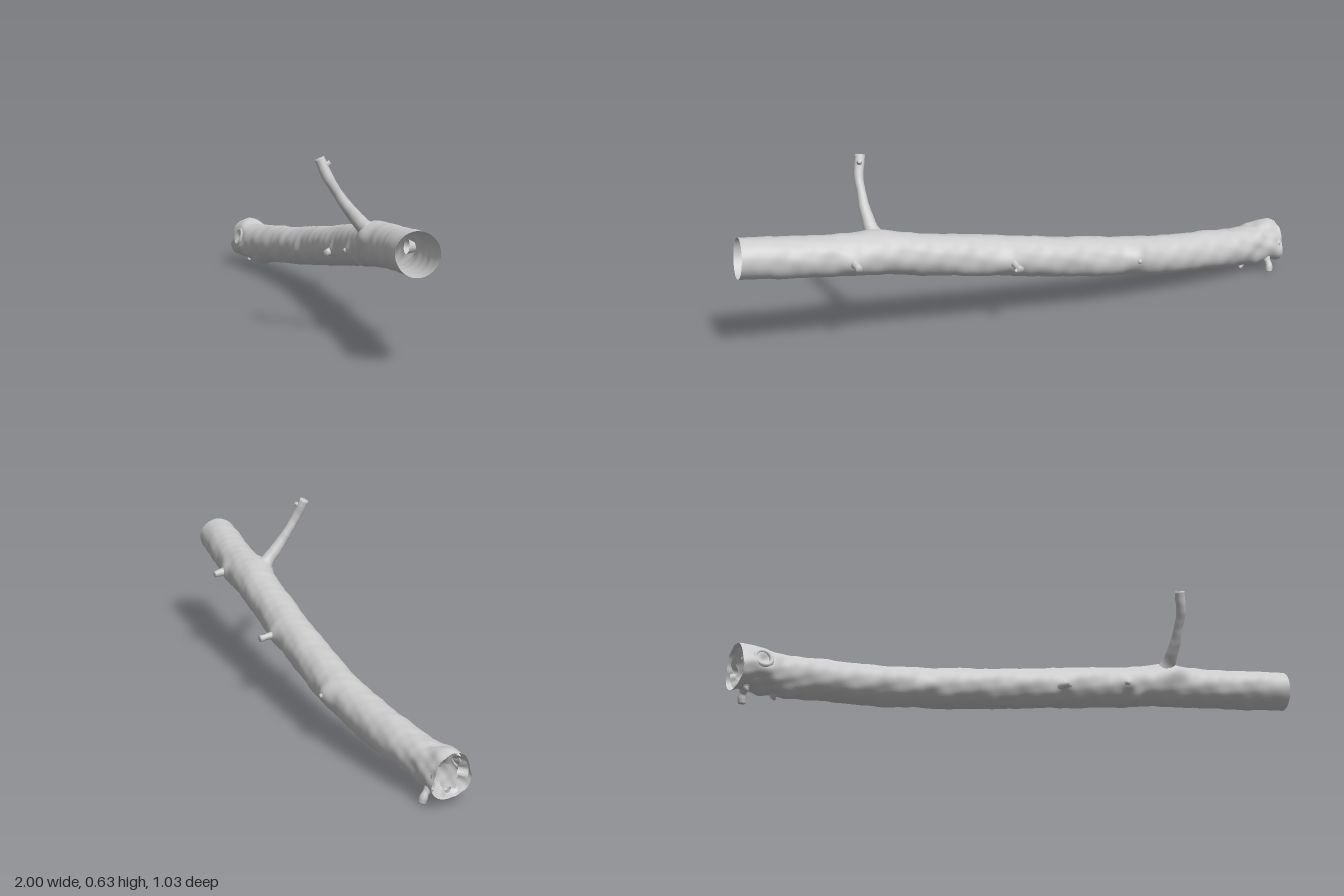
import * as THREE from 'three';

const material = new THREE.MeshStandardMaterial({ color: 0xcccccc, roughness: 0.9, side: THREE.DoubleSide });
const V = (x, y, z) => new THREE.Vector3(x, y, z);

// Smooth pseudo-noise for bark
const bark = (p) =>
  Math.sin(p.x * 17 + p.y * 31) * Math.sin(p.z * 29 - p.x * 7 + 1) * 0.5 +
  Math.sin(p.x * 43 + p.z * 37 + 2) * Math.sin(p.y * 61 + p.z * 23) * 0.35 +
  Math.sin(p.x * 90 - p.y * 70) * Math.sin(p.z * 97 + p.y * 40) * 0.2;

// Swept limb: path points, radii along it, and a rule displacing each vertex outwards
function limb(name, points, radii, rings, sides, displace = () => 0, capped = true) {
  const curve = new THREE.CatmullRomCurve3(points.map((p) => V(...p)));
  const pos = [], index = [];
  for (let i = 0; i <= rings; i++) {
    const t = i / rings;
    const c = curve.getPointAt(t), tan = curve.getTangentAt(t);
    const ref = Math.abs(points[0][1] - points.at(-1)[1]) > 0.15 && points.length < 6 ? V(1, 0, 0) : V(0, 1, 0);
    const a = V(0, 0, 0).crossVectors(ref, tan).normalize();
    const b = V(0, 0, 0).crossVectors(tan, a);
    const k = t * (radii.length - 1), n = Math.min(Math.floor(k), radii.length - 2);
    const r = THREE.MathUtils.lerp(radii[n], radii[n + 1], k - n);
    for (let j = 0; j < sides; j++) {
      const th = (j / sides) * Math.PI * 2;
      const dir = a.clone().multiplyScalar(Math.cos(th)).addScaledVector(b, Math.sin(th));
      const p = c.clone().addScaledVector(dir, r);
      p.addScaledVector(dir, displace(p, t));
      pos.push(p.x, p.y, p.z);
      if (i < rings) {
        const q = i * sides + j, s = i * sides + ((j + 1) % sides);
        index.push(q, s, q + sides, s, s + sides, q + sides);
      }
    }
  }
  if (capped) {
    const e = curve.getPointAt(1), m = pos.length / 3, o = rings * sides;
    pos.push(e.x, e.y, e.z);
    for (let j = 0; j < sides; j++) index.push(o + j, o + ((j + 1) % sides), m);
  }
  const g = new THREE.BufferGeometry();
  g.setAttribute('position', new THREE.Float32BufferAttribute(pos, 3));
  g.setIndex(index);
  g.computeVertexNormals();
  const mesh = new THREE.Mesh(g, material);
  mesh.name = name;
  return mesh;
}

// Swellings on the trunk: x, y, z, height, spread
const swellings = [
  [0.5, 0.395, 0.25, 0.016, 0.06],
  [0.53, 0.37, 0.27, 0.012, 0.035],
  [0.36, 0.29, 0.19, 0.014, 0.025],
  [0.4, 0.25, 0.18, 0.009, 0.025],
  [0.13, 0.25, 0.08, 0.018, 0.022],
  [0.15, 0.26, -0.09, 0.014, 0.035],
  [0.67, 0.345, 0.18, 0.014, 0.035],
  [-0.31, 0.19, -0.29, 0.026, 0.035],
  [-0.32, 0.17, -0.16, 0.009, 0.03],
  [-0.5, 0.16, -0.24, 0.007, 0.04],
  [-0.92, 0.17, -0.38, 0.012, 0.03],
  [-0.9, 0.1, -0.36, 0.01, 0.03],
  [-0.93, 0.19, -0.46, 0.012, 0.04],
  [-0.8, 0.05, -0.38, 0.014, 0.035],
  [-0.87, 0.04, -0.42, 0.012, 0.03],
  [-0.92, 0.13, -0.355, -0.018, 0.02],
].map(([x, y, z, h, s]) => ({ at: V(x, y, z), h, s }));

function trunkSurface(p, t) {
  const rough = 0.004 + 0.009 * Math.max(0, 1 - t / 0.12);
  let d = bark(p) * rough * (t > 0.95 ? 0.5 : 1);
  for (const { at, h, s } of swellings) d += h * Math.exp(-p.distanceToSquared(at) / (s * s));
  return d;
}

// Ragged broken rim folding into the hollow lower end
function brokenRim(centre, tangent) {
  const sides = 40, pos = [], index = [];
  for (let j = 0; j < sides; j++) {
    const th = (j / sides) * Math.PI * 2;
    const inner = 0.05 + 0.012 * Math.sin(th * 3 + 1) + 0.006 * Math.sin(th * 11);
    pos.push(0.072 * Math.cos(th), 0.072 * Math.sin(th), 0.012);
    pos.push(inner * Math.cos(th), inner * Math.sin(th), 0.03 + 0.008 * Math.sin(th * 7));
    const a = j * 2, b = ((j + 1) % sides) * 2;
    index.push(a, a + 1, b, b, a + 1, b + 1);
  }
  const g = new THREE.BufferGeometry();
  g.setAttribute('position', new THREE.Float32BufferAttribute(pos, 3));
  g.setIndex(index);
  g.computeVertexNormals();
  const mesh = new THREE.Mesh(g, material);
  mesh.name = 'brokenRim';
  mesh.position.copy(centre);
  mesh.quaternion.setFromUnitVectors(V(0, 0, 1), tangent.normalize());
  return mesh;
}

export function createModel() {
  const group = new THREE.Group();
  group.name = 'brokenBranch';

  // Hollow main trunk, open at both ends
  group.add(limb('trunk', [
    [-0.97, 0.105, -0.45], [-0.8, 0.117, -0.4], [-0.5, 0.153, -0.305], [-0.25, 0.193, -0.207],
    [0, 0.238, -0.084], [0.25, 0.285, 0.045], [0.5, 0.332, 0.178], [0.75, 0.362, 0.315], [0.966, 0.386, 0.445],
  ], [0.075, 0.073, 0.072, 0.073, 0.073, 0.074, 0.075, 0.073, 0.073], 220, 56, trunkSurface, false));
  group.add(brokenRim(V(-0.97, 0.105, -0.45), V(0.17, 0.012, 0.05)));

  // Upright side branch with a knobbly broken tip
  const twigBark = (p) => bark(p) * 0.003;
  group.add(limb('sideBranch', [
    [0.515, 0.37, 0.225], [0.5, 0.425, 0.275], [0.478, 0.495, 0.325], [0.453, 0.57, 0.365], [0.428, 0.635, 0.382],
  ], [0.045, 0.027, 0.022, 0.02, 0.018, 0.017, 0.018, 0.017], 40, 18, twigBark));
  group.add(limb('branchTipSpur', [
    [0.44, 0.605, 0.375], [0.45, 0.615, 0.364], [0.455, 0.623, 0.357],
  ], [0.012, 0.009, 0.006], 8, 10, twigBark));

  // Short snapped twigs on the back and front of the trunk
  const stubs = [
    ['backStub', [[0.14, 0.262, -0.08], [0.157, 0.257, -0.115], [0.168, 0.252, -0.145]], [0.026, 0.014, 0.012, 0.014]],
    ['backStubFork', [[0.158, 0.255, -0.125], [0.172, 0.25, -0.132], [0.185, 0.247, -0.133]], [0.01, 0.009, 0.005]],
    ['upperStub', [[0.66, 0.347, 0.2], [0.675, 0.342, 0.165], [0.685, 0.337, 0.142]], [0.026, 0.015, 0.011]],
    ['middleKnot', [[-0.32, 0.188, -0.28], [-0.3, 0.19, -0.315], [-0.292, 0.188, -0.33]], [0.024, 0.013, 0.008]],
    ['frontKnot', [[0.125, 0.25, 0.05], [0.133, 0.248, 0.08], [0.137, 0.247, 0.095]], [0.018, 0.014, 0.01]],
    ['frontUpperKnot', [[0.36, 0.3, 0.15], [0.35, 0.295, 0.18], [0.345, 0.292, 0.198]], [0.02, 0.013, 0.007]],
    ['lowerEndStub', [[-0.9, 0.06, -0.48], [-0.895, 0.038, -0.497], [-0.89, 0.012, -0.502]], [0.018, 0.011, 0.013, 0.011]],
    ['lowerEndFlake', [[-0.83, 0.05, -0.41], [-0.825, 0.035, -0.415], [-0.815, 0.026, -0.418]], [0.018, 0.013, 0.006]],
    ['lowerEndChip', [[-0.93, 0.05, -0.43], [-0.935, 0.035, -0.428], [-0.93, 0.024, -0.425]], [0.018, 0.012, 0.006]],
  ];
  for (const [name, points, radii] of stubs) group.add(limb(name, points, radii, 12, 14, twigBark));

  // Raised scar ring where a twig was lost
  const scar = new THREE.Mesh(new THREE.TorusGeometry(0.03, 0.008, 8, 24), material);
  scar.name = 'branchScar';
  scar.position.set(-0.92, 0.13, -0.364);
  scar.rotation.set(-0.3, -0.36, 0);
  group.add(scar);

  return group;
}
